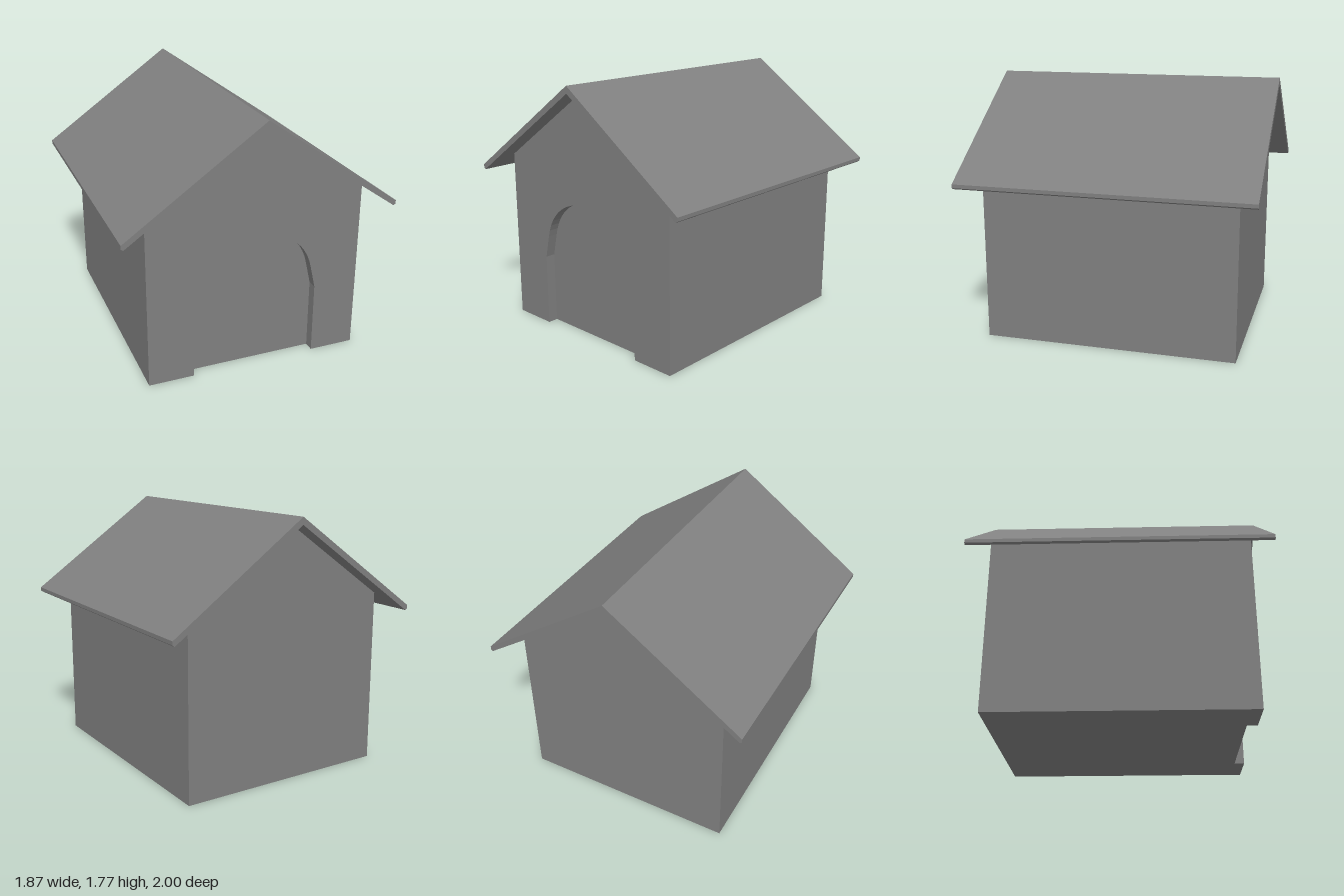
import * as THREE from 'three';

const FRONT = 0.868, BACK = -0.865, RECESS = 0.07;

// Extrudes a shape along z between two depths
function extrude(name, shape, zBack, zFront, material) {
  const geometry = new THREE.ExtrudeGeometry(shape, {
    depth: zFront - zBack, bevelEnabled: false, curveSegments: 12,
  });
  geometry.translate(0, 0, zBack);
  const mesh = new THREE.Mesh(geometry, material);
  mesh.name = name;
  return mesh;
}

const polygon = (points) => new THREE.Shape(points.map(([x, y]) => new THREE.Vector2(x, y)));

export function createModel() {
  const group = new THREE.Group();
  group.name = 'kennel';
  const grey = new THREE.MeshStandardMaterial({ color: 0x808080 });
  grey.name = 'grey';

  // Solid gabled body, its front face being the back of the doorway
  const gable = [[0.75, 0], [0.75, 1.2], [0, 1.72], [-0.75, 1.2], [-0.75, 0]];
  group.add(extrude('body', polygon(gable), BACK, FRONT - RECESS, grey));

  // Front wall with an arched doorway open at the floor
  const wall = polygon([...gable].reverse());
  wall.lineTo(-0.437, 0);
  const front = new THREE.Shape();
  front.moveTo(0.437, 0);
  gable.forEach(([x, y]) => front.lineTo(x, y));
  front.lineTo(-0.437, 0);
  front.lineTo(-0.437, 0.5);
  front.lineTo(-0.4, 0.66);
  front.bezierCurveTo(-0.36, 0.85, -0.2, 0.957, 0, 0.957);
  front.bezierCurveTo(0.2, 0.957, 0.36, 0.85, 0.4, 0.66);
  front.lineTo(0.437, 0.5);
  front.closePath();
  group.add(extrude('frontWall', front, FRONT - RECESS, FRONT, grey));

  // Roof slab with clipped eaves, overhanging on all sides
  const roof = polygon([
    [0, 1.77], [-0.933, 1.115], [-0.933, 1.09], [-0.919, 1.08],
    [0, 1.72], [0.919, 1.08], [0.933, 1.09], [0.933, 1.115],
  ]);
  group.add(extrude('roof', roof, -1, 1, grey));

  return group;
}
